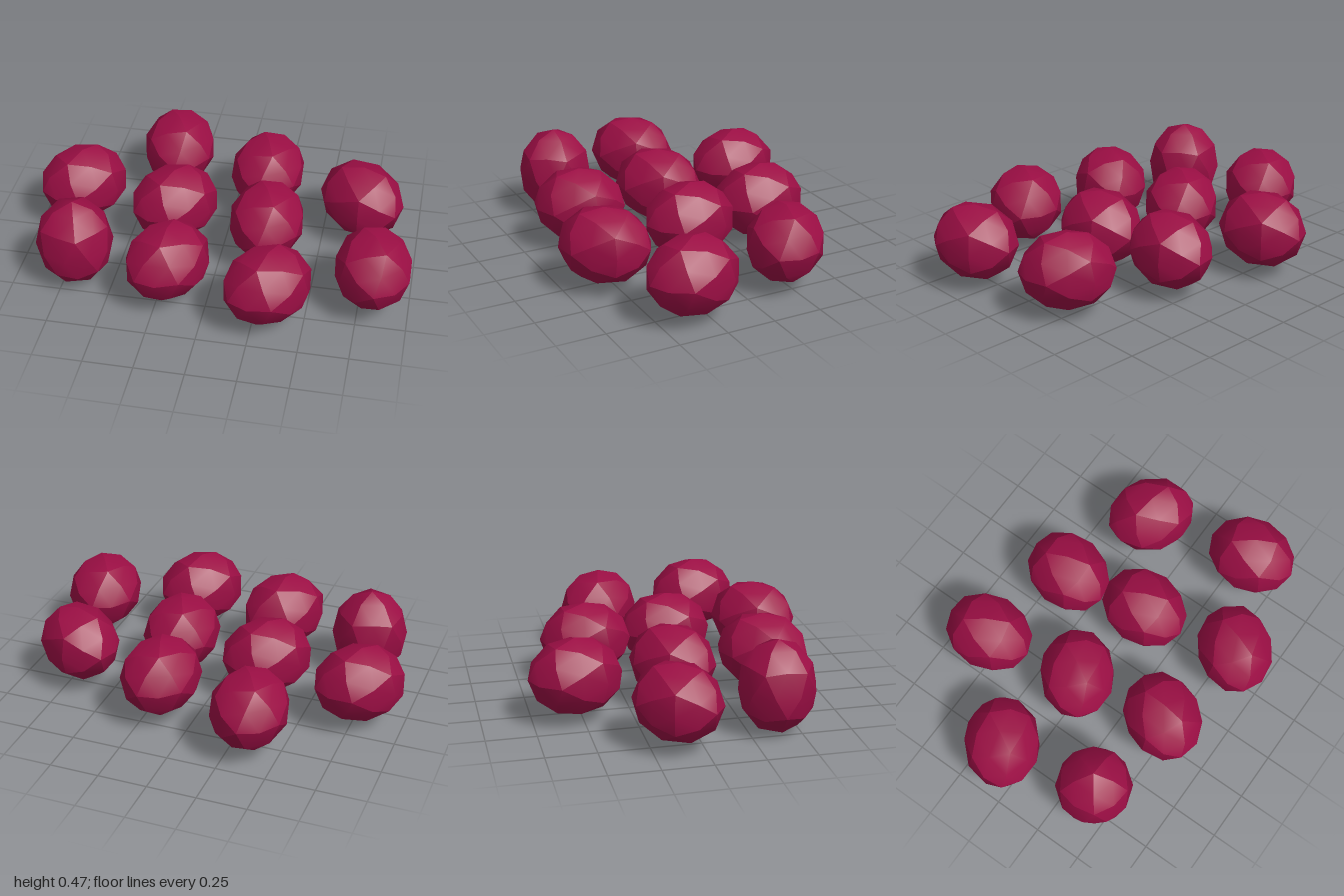
import * as THREE from 'three';
import { mergeGeometries, mergeVertices } from 'three/addons/utils/BufferGeometryUtils.js';

const RADIUS = 0.195, HALF_LENGTH = 0.236;

// Low-poly ovoid: a once-divided icosahedron with a corner at each pole,
// smooth inside each of the 20 large faces and creased between them.
function berryGeometry() {
  const ico = new THREE.IcosahedronGeometry(1, 1);
  ico.rotateZ(-Math.atan(2 / (1 + Math.sqrt(5))));
  ico.scale(RADIUS, HALF_LENGTH, RADIUS);
  const points = ico.attributes.position.array;
  const patches = [];
  for (let i = 0; i < points.length; i += 36) {
    const patch = new THREE.BufferGeometry();
    patch.setAttribute('position', new THREE.BufferAttribute(points.slice(i, i + 36), 3));
    const smooth = mergeVertices(patch, 1e-4);
    smooth.computeVertexNormals();
    patches.push(smooth);
  }
  return mergeGeometries(patches);
}

// x, z and heading of the long axis in degrees, for the berries lying down
const lying = [
  [-0.345, -0.535, 4],
  [0.17, -0.40, -8],
  [0.695, -0.235, 52],
  [-0.777, -0.123, -54],
  [-0.262, -0.03, -54],
  [0.235, 0.043, -3],
  [-0.195, 0.457, -32],
  [0.32, 0.553, -45],
  [0.81, 0.333, 6],
];

export function createModel() {
  const group = new THREE.Group();
  group.name = 'berries';
  const geometry = berryGeometry();
  const material = new THREE.MeshStandardMaterial({ color: 0x9b0e44 });

  const addBerry = (name, x, z) => {
    const berry = new THREE.Mesh(geometry, material);
    berry.name = name;
    berry.position.set(x, 0.24, z);
    group.add(berry);
    return berry;
  };

  // Berries on their sides
  lying.forEach(([x, z, heading], i) => {
    const berry = addBerry(`lyingBerry${i + 1}`, x, z);
    berry.rotation.set(Math.PI / 2, THREE.MathUtils.degToRad(heading), 0, 'YXZ');
  });

  // One berry standing on its end
  addBerry('standingBerry', -0.69, 0.385);

  return group;
}
